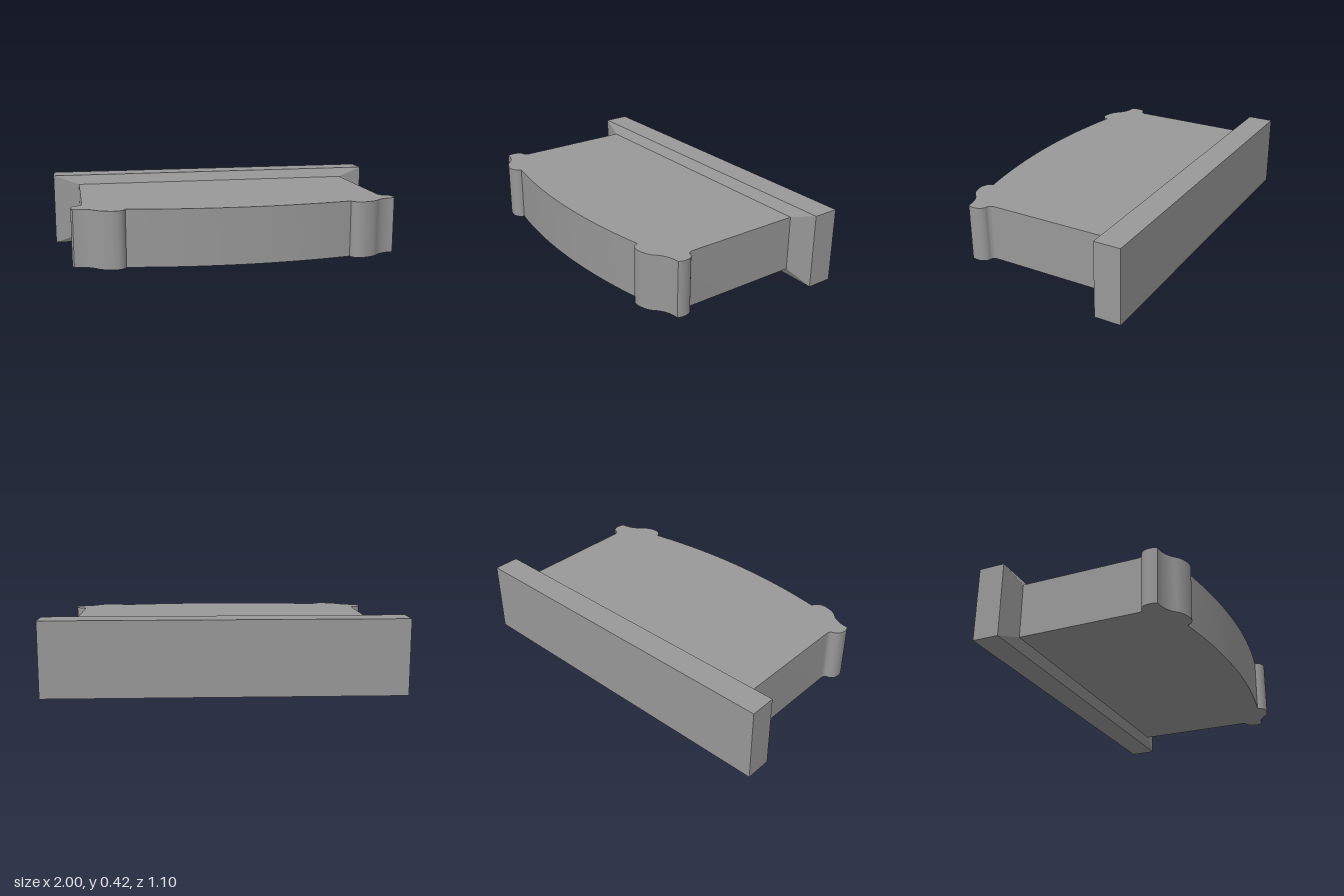
import * as THREE from 'three';
import { toCreasedNormals } from 'three/addons/utils/BufferGeometryUtils.js';

const HEIGHT = 0.424, MID = HEIGHT / 2;
const BODY_H = 0.316, BODY_X = 0.847;

// Right half of the body outline as (x, z), from the back to the middle of the bowed front
function halfOutline() {
  const v = (x, z) => new THREE.Vector2(x, z);
  const path = new THREE.Path();
  path.moveTo(BODY_X, -0.38);
  path.lineTo(BODY_X, 0.305);
  path.bezierCurveTo(v(BODY_X, 0.305).x, 0.33, 0.858, 0.34, 0.878, 0.343); // side cove
  path.bezierCurveTo(0.9, 0.352, 0.908, 0.375, 0.908, 0.4);                // side bead
  path.quadraticCurveTo(0.908, 0.42, 0.898, 0.437);
  path.bezierCurveTo(0.85, 0.439, 0.81, 0.455, 0.782, 0.485);              // corner hollow
  path.bezierCurveTo(0.76, 0.513, 0.72, 0.525, 0.69, 0.529);               // front bead
  path.bezierCurveTo(0.655, 0.532, 0.63, 0.515, 0.624, 0.487);
  path.quadraticCurveTo(0.312, 0.547, 0, 0.547);                           // bowed front
  return path.getPoints(10);
}

export function createModel() {
  const model = new THREE.Group();
  model.name = 'mouldedBlock';
  const grey = new THREE.MeshStandardMaterial({ color: 0x999999 });
  grey.name = 'grey';

  const add = (name, geometry, y, z) => {
    const mesh = new THREE.Mesh(geometry, grey);
    mesh.name = name;
    mesh.position.set(0, y, z);
    model.add(mesh);
  };

  // Body: mirrored outline extruded downwards
  const right = halfOutline();
  const left = right.slice(0, -1).reverse().map(p => new THREE.Vector2(-p.x, p.y));
  const body = new THREE.ExtrudeGeometry(new THREE.Shape([...right, ...left]), {
    depth: BODY_H, bevelEnabled: false,
  });
  body.rotateX(Math.PI / 2);
  add('body', toCreasedNormals(body, 0.6), MID + BODY_H / 2, 0);

  // Sloped collar: box narrowed towards the body
  const collar = new THREE.BoxGeometry(2, HEIGHT, 0.03);
  const pos = collar.attributes.position;
  for (let i = 0; i < pos.count; i++) {
    if (pos.getZ(i) > 0) {
      pos.setX(i, Math.sign(pos.getX(i)) * BODY_X);
      pos.setY(i, Math.sign(pos.getY(i)) * BODY_H / 2);
    }
  }
  add('collar', toCreasedNormals(collar, 0.1), MID, -0.384);

  // Back plate
  add('backPlate', new THREE.BoxGeometry(2, HEIGHT, 0.149), MID, -0.4735);

  return model;
}
